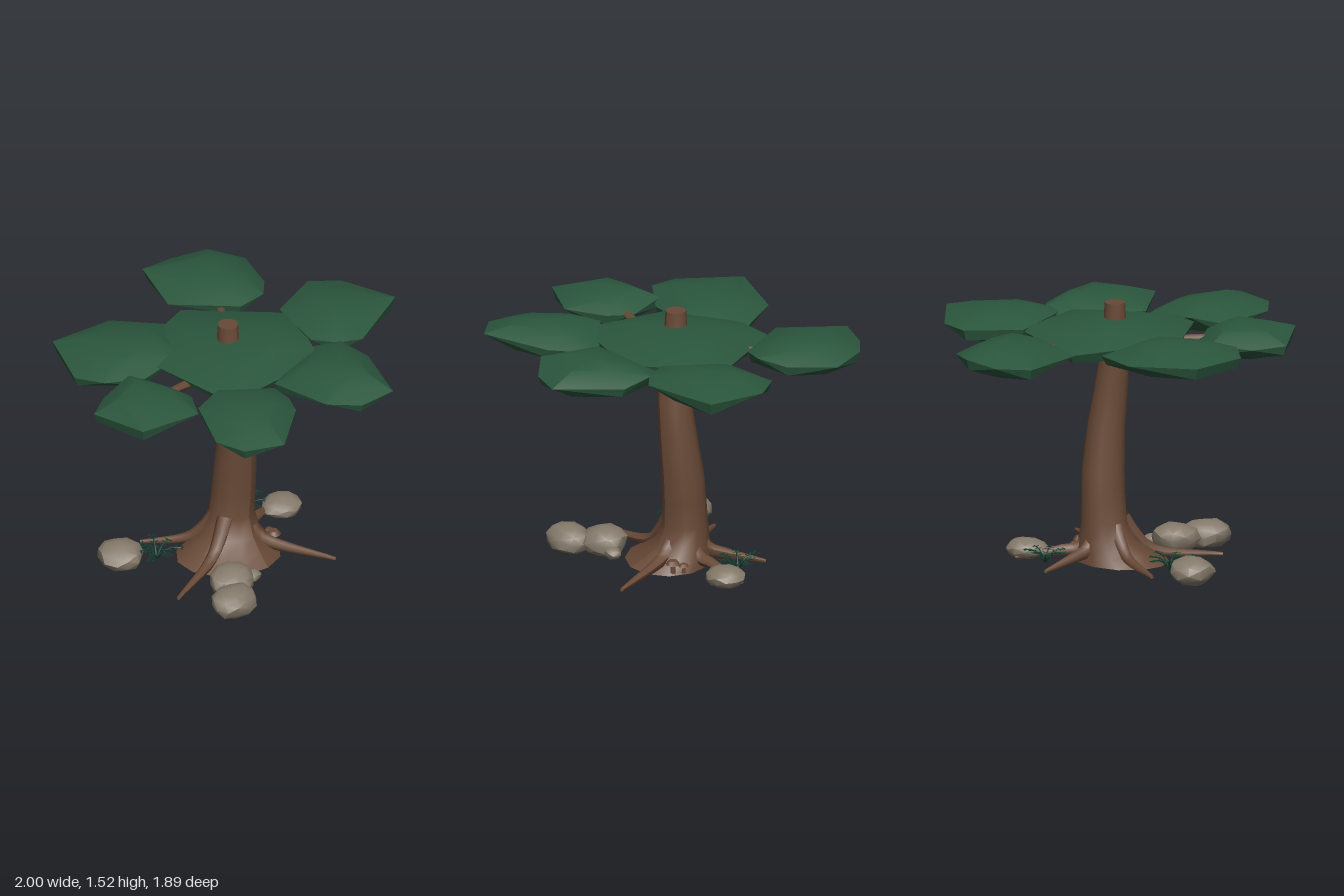
import * as THREE from 'three';
import { ConvexGeometry } from 'three/addons/geometries/ConvexGeometry.js';
import { toCreasedNormals } from 'three/addons/utils/BufferGeometryUtils.js';

const V = (x, y, z) => new THREE.Vector3(x, y, z);
const mat = (name, color, extra = {}) => new THREE.MeshStandardMaterial({ name, color, ...extra });

// Repeatable noise in -1..1
const noise = (x, y, z) => {
  const s = Math.sin(x * 12.99 + y * 78.23 + z * 37.72) * 43758.5453;
  return (s - Math.floor(s)) * 2 - 1;
};

// Tube along a smooth path whose radius shrinks from r0 to r1
function taperedTube(points, r0, r1, segments = 10, sides = 7) {
  const curve = new THREE.CatmullRomCurve3(points);
  const geo = new THREE.TubeGeometry(curve, segments, 1, sides);
  const pos = geo.attributes.position;
  const v = V();
  for (let i = 0; i < pos.count; i++) {
    const t = Math.floor(i / (sides + 1)) / segments;
    const c = curve.getPointAt(t);
    v.fromBufferAttribute(pos, i).sub(c).multiplyScalar(r0 + (r1 - r0) * t).add(c);
    pos.setXYZ(i, v.x, v.y, v.z);
  }
  geo.computeVertexNormals();
  return geo;
}

export function createModel() {
  const model = new THREE.Group();
  const bark = mat('bark', 0x684936, { side: THREE.DoubleSide });
  const foliage = mat('foliage', 0x2b563d);
  const stone = mat('stone', 0x857a6b);
  const fern = mat('fern', 0x123f30, { side: THREE.DoubleSide });
  const add = (name, geo, material, parent = model) => {
    const mesh = new THREE.Mesh(geo, material);
    mesh.name = name;
    parent.add(mesh);
    return mesh;
  };

  // Leaning trunk: height, centre x, centre z, radius, extra radius along the diagonal
  const rings = [
    [0.03, -0.035, -0.01, 0.25, 0.05], [0.08, 0.0, -0.03, 0.205, 0.03], [0.15, 0.035, -0.05, 0.155, 0.01],
    [0.26, 0.05, -0.06, 0.13, 0], [0.4, 0.056, -0.05, 0.125, 0], [0.55, 0.058, -0.04, 0.122, 0],
    [0.8, 0.045, -0.015, 0.108, 0], [1.0, 0.02, -0.008, 0.097, 0], [1.22, -0.005, -0.015, 0.084, 0],
    [1.38, -0.008, -0.034, 0.066, 0], [1.52, -0.008, -0.035, 0.058, 0],
  ];
  const n = rings.length - 1;
  const trunk = new THREE.CylinderGeometry(1, 1, 1, 12, n);
  const tp = trunk.attributes.position;
  for (let i = 0; i < tp.count; i++) {
    const [y, cx, cz, r, e] = rings[Math.round((tp.getY(i) + 0.5) * n)];
    const x = tp.getX(i), z = tp.getZ(i), d = (x * 0.79 + z * 0.615) * e;
    tp.setXYZ(i, cx + x * r + d * 0.79, y, cz + z * r + d * 0.615);
  }
  trunk.computeVertexNormals();
  add('trunk', trunk, bark);

  // Roots spreading from the flare: tip x, tip z, height where they leave the trunk
  const roots = [[-0.6, 0.1, 0.27], [0.29, 0.5, 0.18], [0.33, -0.42, 0.17], [-0.28, -0.45, 0.25], [0.54, -0.14, 0.15]];
  roots.forEach(([x, z, h]) => {
    const dx = x - 0.04, dz = z + 0.04, len = Math.hypot(dx, dz);
    const at = (d, y) => V(0.04 + dx / len * d, y, -0.04 + dz / len * d);
    add('root', taperedTube([at(0.09, h), at(0.16, h * 0.62), at(0.25, 0.085), at(len, 0.045)], 0.048, 0.011), bark);
  });

  // Canopy pads as plan outlines (x, z), the middle one first
  const pads = [
    [[0.17, -0.53], [0.54, -0.02], [0.29, 0.35], [0.09, 0.39], [-0.42, 0.34], [-0.4, -0.23], [-0.03, -0.48]],
    [[0.33, -0.95], [0.54, -0.91], [0.72, -0.8], [0.81, -0.6], [0.68, -0.35], [0.54, -0.24], [0.38, -0.27], [0.14, -0.6]],
    [[0.83, -0.16], [0.96, -0.02], [1, 0.34], [0.55, 0.48], [0.43, 0.4], [0.35, 0.27], [0.5, -0.09]],
    [[-0.12, 0.4], [-0.12, 0.78], [0.05, 0.9], [0.27, 0.94], [0.47, 0.59], [0.45, 0.4], [0.35, 0.28]],
    [[-0.58, 0.23], [-0.4, 0.22], [-0.12, 0.4], [-0.16, 0.54], [-0.24, 0.66], [-0.59, 0.87], [-0.77, 0.73], [-0.79, 0.54]],
    [[-1, -0.18], [-0.82, -0.26], [-0.58, -0.28], [-0.49, -0.05], [-0.51, 0.12], [-0.66, 0.3], [-1, 0.18]],
    [[-0.59, -0.83], [-0.19, -0.75], [0, -0.5], [-0.2, -0.2], [-0.52, -0.21], [-0.74, -0.32], [-0.79, -0.5]],
  ];
  const canopy = new THREE.Group();
  canopy.name = 'canopy';
  model.add(canopy);
  pads.forEach((outline, k) => {
    const cx = outline.reduce((s, p) => s + p[0], 0) / outline.length;
    const cz = outline.reduce((s, p) => s + p[1], 0) / outline.length;
    const pts = [V(cx, k ? 1.43 : 1.44, cz), V(cx, 1.235, cz)];
    outline.forEach(([x, z], i) => {
      const j = noise(x, k, z);
      const mix = (f, y) => V(cx + (x - cx) * f, y, cz + (z - cz) * f);
      pts.push(V(x, 1.35 + 0.025 * j, z));
      pts.push(mix(0.55, 1.408 + 0.006 * j));
      if (i % 2 === 0) pts.push(mix(0.94, 1.29 + 0.012 * j));
      pts.push(mix(0.55, 1.256 + 0.008 * j));
    });
    add('leafPad', toCreasedNormals(new ConvexGeometry(pts), 0.45), foliage, canopy);
    // Branch reaching from the trunk to each outer pad
    if (k) {
      add('branch', taperedTube([V(-0.01, 1.2, -0.02), V(cx * 0.2, 1.26, cz * 0.2),
        V(cx * 0.6, 1.32, cz * 0.6), V(cx, 1.33, cz)], 0.04, 0.016), bark);
    }
  });

  // Boulders: centre x, y, z, then half sizes
  [
    [-0.465, 0.082, 0.39, 0.15, 0.085, 0.13],
    [-0.31, 0.09, 0.25, 0.14, 0.09, 0.13],
    [-0.5, 0.08, -0.41, 0.13, 0.085, 0.14],
    [0.485, 0.08, -0.06, 0.125, 0.065, 0.115],
    [-0.17, 0.065, 0.28, 0.055, 0.035, 0.05],
  ].forEach(([x, y, z, a, b, c]) => {
    const geo = new THREE.IcosahedronGeometry(1, 1);
    const p = geo.attributes.position;
    for (let i = 0; i < p.count; i++) {
      const q = [p.getX(i), p.getY(i), p.getZ(i)].map((u) => Math.round(u * 100) / 100 + 0);
      const s = 0.97 + 0.08 * noise(q[0] + x, q[1], q[2] + z);
      p.setXYZ(i, x + q[0] * s * a, Math.max(y + q[1] * s * b, y - b * 0.9), z + q[2] * s * c);
    }
    add('boulder', toCreasedNormals(geo, 0.7), stone);
  });

  // Ferns: arched stems with paired leaflets
  [[0.36, -0.22], [-0.35, -0.27]].forEach(([x, z]) => {
    const plant = new THREE.Group();
    plant.name = 'fern';
    plant.position.set(x, 0.045, z);
    model.add(plant);
    for (let k = 0; k < 7; k++) {
      const frond = new THREE.Group();
      frond.name = 'frond';
      frond.rotation.y = k * 0.9;
      plant.add(frond);
      const reach = 0.125 + 0.03 * noise(k, x, z);
      const path = [V(0, 0, 0), V(reach * 0.4, 0.06, 0), V(reach, 0.07, 0)];
      add('stem', taperedTube(path, 0.005, 0.003, 5, 4), fern, frond);
      const curve = new THREE.CatmullRomCurve3(path);
      for (let i = 2; i < 6; i++) {
        for (const side of [-1, 1]) {
          const leaf = add('leaflet', new THREE.CircleGeometry(1, 4), fern, frond);
          leaf.geometry.rotateX(-Math.PI / 2).scale(0.007, 1, 0.016);
          leaf.position.copy(curve.getPointAt(i / 5.5)).add(V(0.004, 0, side * 0.014));
          leaf.rotation.y = side * 0.5;
        }
      }
    }
  });

  // Little mushrooms at the foot of the trunk
  [[0.21, 0.115, 1.05], [0.235, 0.06, 0.75]].forEach(([x, z, s]) => {
    const mushroom = new THREE.Group();
    mushroom.name = 'mushroom';
    mushroom.position.set(x, 0.04, z);
    mushroom.scale.setScalar(s);
    model.add(mushroom);
    add('mushroomStem', new THREE.CylinderGeometry(0.012, 0.016, 0.06, 7).translate(0, 0.03, 0), bark, mushroom);
    add('mushroomCap', new THREE.CylinderGeometry(0.024, 0.04, 0.022, 8).translate(0, 0.062, 0), bark, mushroom);
  });

  return model;
}
